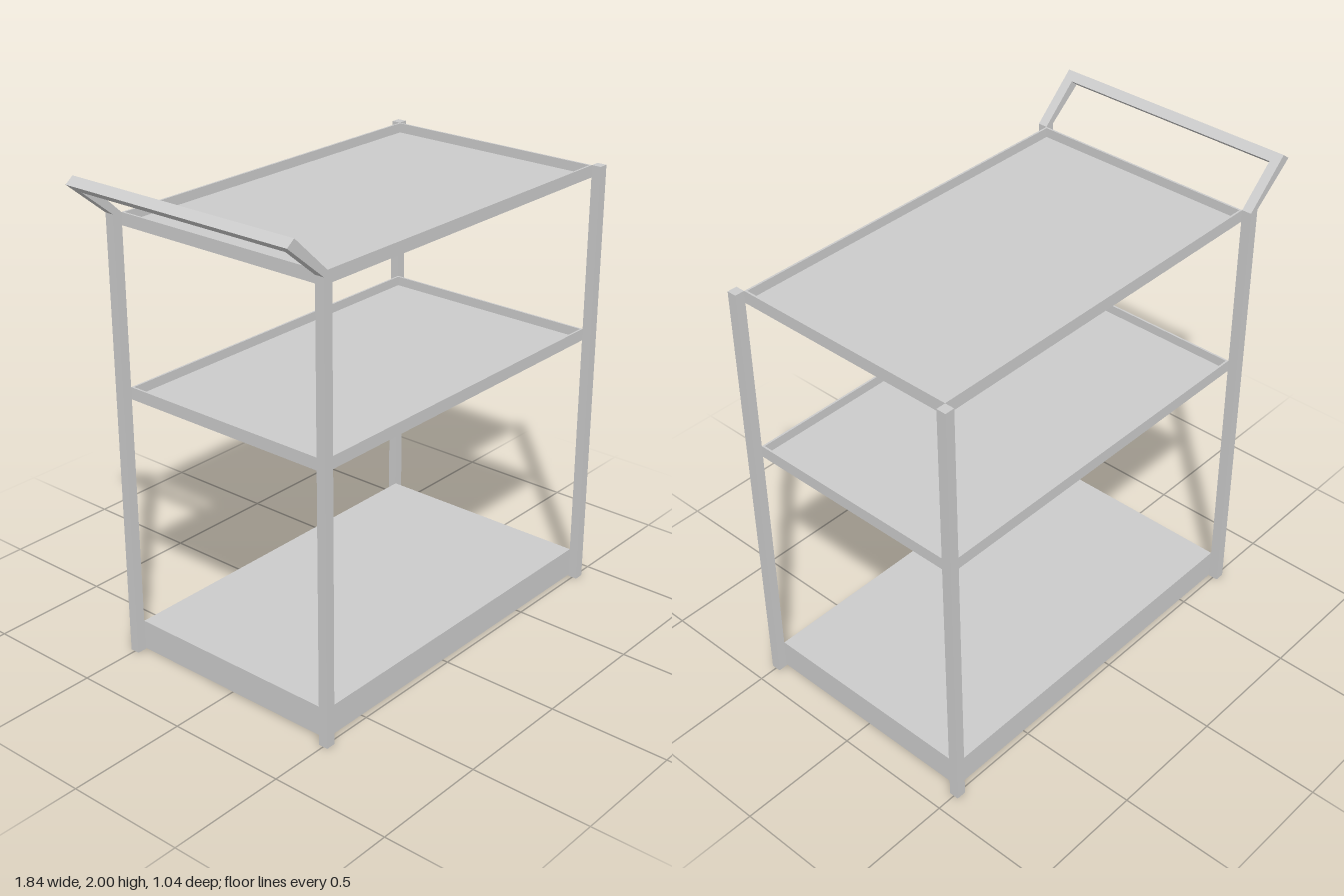
import * as THREE from 'three';

const mat = new THREE.MeshStandardMaterial({ color: 0xcccccc, flatShading: true });

// Box given by its min and max corners
function box(name, [x0, y0, z0], [x1, y1, z1]) {
  const mesh = new THREE.Mesh(new THREE.BoxGeometry(x1 - x0, y1 - y0, z1 - z0), mat);
  mesh.name = name;
  mesh.position.set((x0 + x1) / 2, (y0 + y1) / 2, (z0 + z1) / 2);
  return mesh;
}

// Side profile in x, y swept from z0 to z1
function sweep(name, points, z0, z1) {
  const shape = new THREE.Shape(points.map(([x, y]) => new THREE.Vector2(x, y)));
  const mesh = new THREE.Mesh(
    new THREE.ExtrudeGeometry(shape, { depth: z1 - z0, bevelEnabled: false }), mat);
  mesh.name = name;
  mesh.position.z = z0;
  return mesh;
}

const LEFT = -0.705, RIGHT = 0.88, HALF = 0.48, POST = 0.04, TOP = 1.83, WALL = 0.008;

// Thin rim around a panel that sits at the given height
function shelf(name, y0, y1, panelY0, panelY1) {
  const g = new THREE.Group();
  g.name = name;
  for (const s of [-1, 1]) {
    const a = s * HALF, b = s * (HALF - WALL);
    g.add(box('longRim', [LEFT, y0, Math.min(a, b)], [RIGHT, y1, Math.max(a, b)]));
  }
  g.add(box('endRim', [LEFT, y0, -HALF + WALL], [LEFT + WALL, y1, HALF - WALL]));
  g.add(box('endRim', [RIGHT - WALL, y0, -HALF + WALL], [RIGHT, y1, HALF - WALL]));
  // A flush panel covers the rim, a recessed one fits inside it
  const inset = panelY1 > y1 ? 0 : WALL;
  g.add(box('panel', [LEFT + inset, panelY0, -HALF + inset],
    [RIGHT - inset, panelY1, HALF - inset]));
  return g;
}

export function createModel() {
  const model = new THREE.Group();
  model.name = 'servingCart';

  // Four square posts
  for (const x of [LEFT - POST, RIGHT]) {
    for (const z of [-HALF - POST, HALF]) {
      model.add(box('post', [x, 0, z], [x + POST, TOP, z + POST]));
    }
  }

  // Two shallow trays and a deep base, open underneath
  model.add(shelf('topShelf', 1.78, TOP, 1.783, 1.791));
  model.add(shelf('middleShelf', 1.095, 1.145, 1.098, 1.106));
  model.add(shelf('baseShelf', 0.005, 0.122, 0.122, 0.13));

  // Slanted push handle
  const handle = new THREE.Group();
  handle.name = 'handle';
  const arm = [[LEFT - POST, TOP], [LEFT, TOP], [-0.886, 2], [-0.92, 1.974]];
  for (const z of [-HALF - POST, HALF]) handle.add(sweep('handleArm', arm, z, z + POST));
  const bar = [[-0.92, 1.974], [-0.887, 1.946], [-0.856, 1.972], [-0.886, 2]];
  handle.add(sweep('handleBar', bar, -HALF, HALF));
  model.add(handle);

  return model;
}
